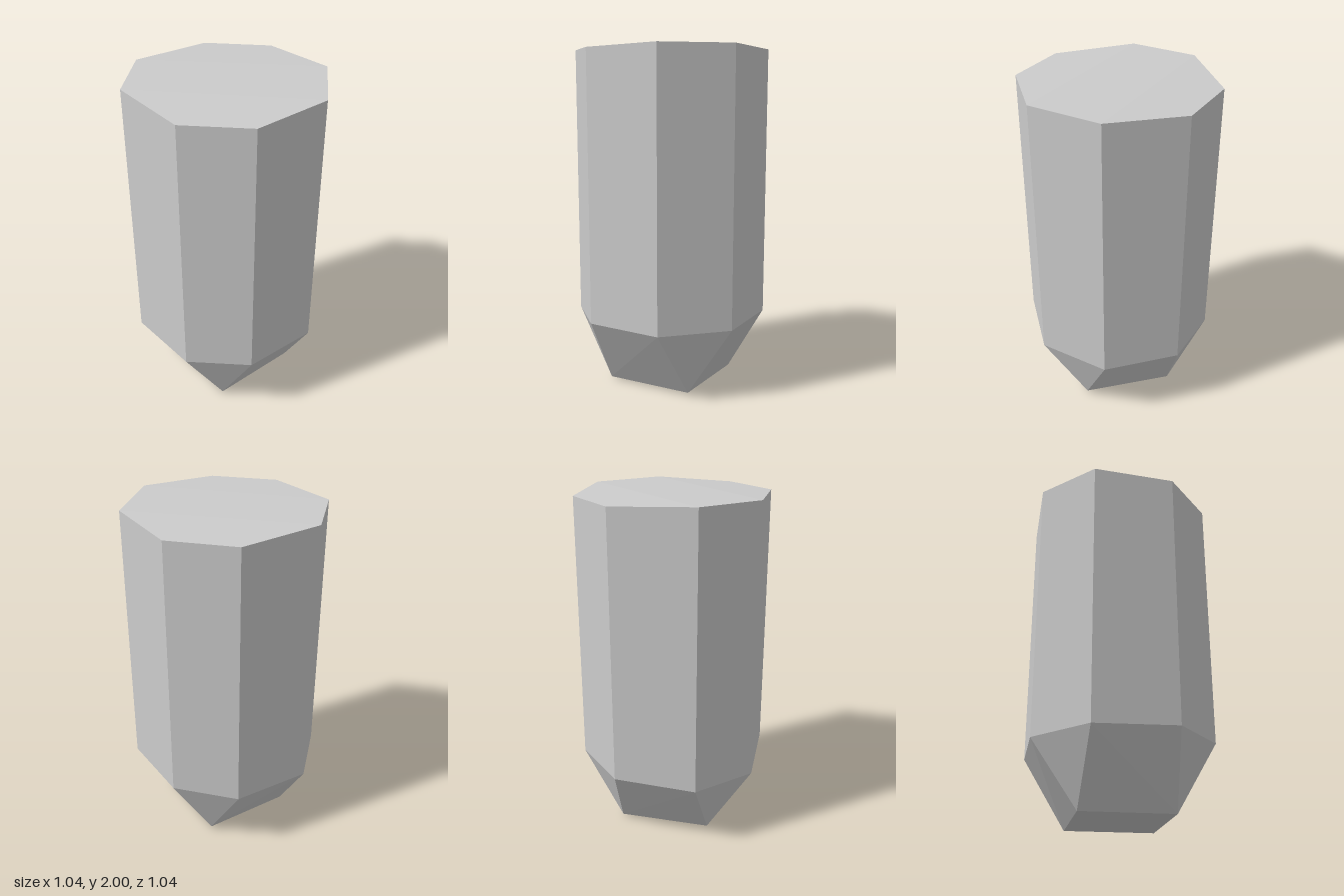
import * as THREE from 'three';
import { ConvexGeometry } from 'three/addons/geometries/ConvexGeometry.js';

// Slightly irregular octagon: x, z, height of lower rim, height of top rim
const OCTAGON = [
  [-0.24, 0.51, 0.42, 1.985],
  [0.215, 0.52, 0.42, 2],
  [0.52, 0.215, 0.42, 2],
  [0.512, -0.24, 0.42, 1.985],
  [0.235, -0.52, 0.41, 1.985],
  [-0.243, -0.525, 0.39, 2],
  [-0.525, -0.243, 0.39, 2],
  [-0.52, 0.235, 0.41, 1.985],
];

export function createModel() {
  const group = new THREE.Group();
  group.name = 'facetedBlock';
  const points = [];

  // Octagonal shaft: lower and upper rims
  for (const [x, z, low, high] of OCTAGON) {
    points.push(new THREE.Vector3(x, low, z), new THREE.Vector3(x, high, z));
  }

  // Square foot, its corners below the diagonal sides of the shaft
  for (const sx of [-1, 1]) {
    for (const sz of [-1, 1]) {
      points.push(new THREE.Vector3(sx * 0.268, 0.008 + 0.004 * (sx + sz), sz * 0.268));
    }
  }

  const material = new THREE.MeshStandardMaterial({ color: 0xcccccc, flatShading: true });
  const body = new THREE.Mesh(new ConvexGeometry(points), material);
  body.name = 'taperedOctagonalBody';
  group.add(body);
  return group;
}
